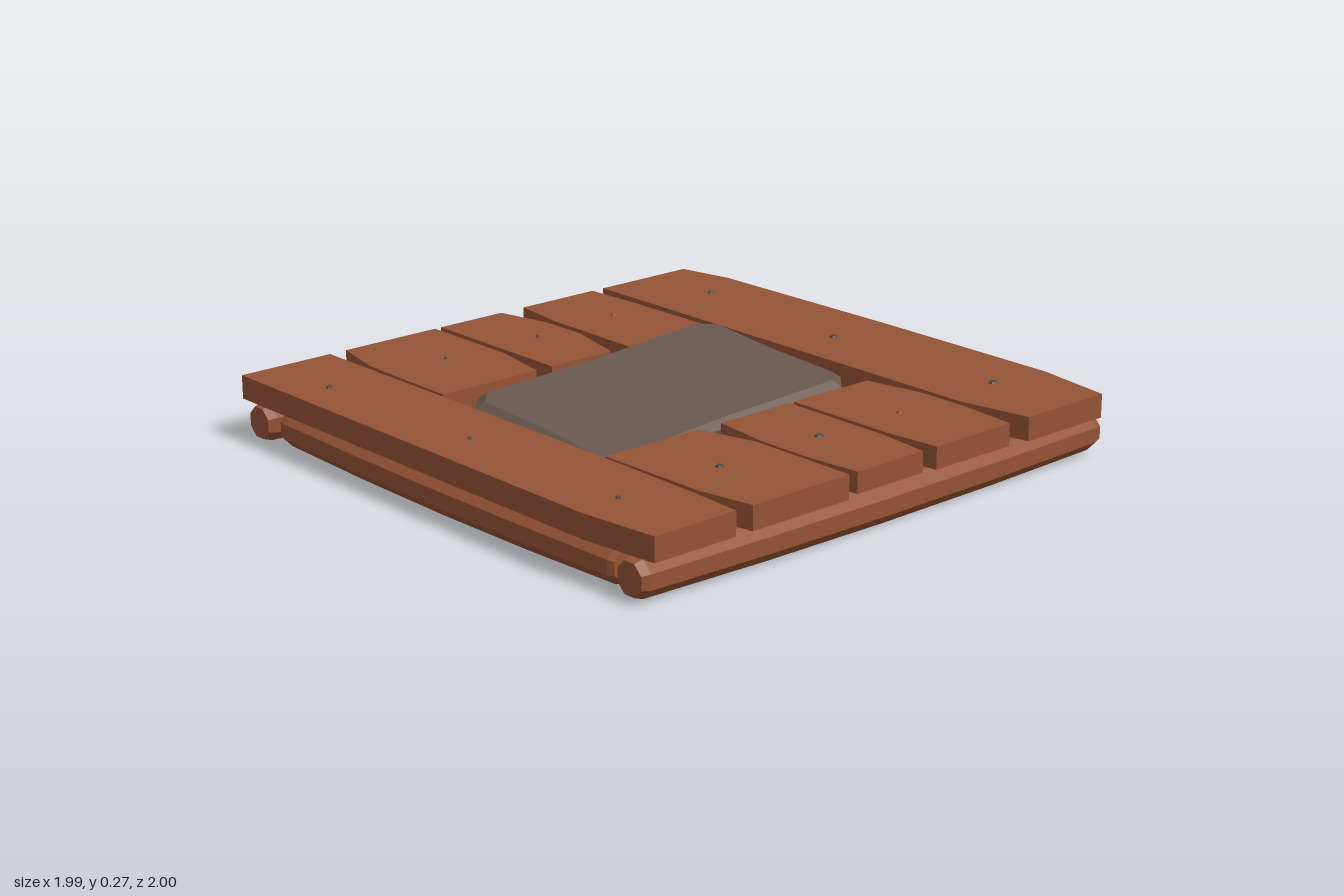
import * as THREE from 'three';

export function createModel() {
  const model = new THREE.Group();
  model.name = 'woodenHatch';

  const wood = new THREE.MeshStandardMaterial({ color: 0x945335, flatShading: true });
  wood.name = 'wood';
  const stone = new THREE.MeshStandardMaterial({ color: 0x6a584e, flatShading: true });
  stone.name = 'stone';
  const iron = new THREE.MeshStandardMaterial({ color: 0x4b4a4c, flatShading: true });
  iron.name = 'iron';

  const add = (name, geometry, material) => {
    const mesh = new THREE.Mesh(geometry, material);
    mesh.name = name;
    model.add(mesh);
    return mesh;
  };

  // Planks: outlines in x, z, extruded downwards
  const plankTop = 0.23;
  const plank = (name, outline, thickness = 0.08) => {
    const shape = new THREE.Shape(outline.map(([x, z]) => new THREE.Vector2(x, z)));
    const geometry = new THREE.ExtrudeGeometry(shape, { depth: thickness, bevelEnabled: false });
    geometry.rotateX(Math.PI / 2).translate(0, plankTop, 0);
    add(name, geometry, wood);
  };
  plank('longPlankRight', [[-1, -1], [-0.65, -1], [-0.645, 0.4], [-0.65, 0.8], [-0.66, 1], [-0.97, 1], [-1, 0.72]]);
  plank('longPlankLeft', [[0.55, -1], [0.94, -1], [0.98, -0.8], [0.99, 0], [0.985, 0.72], [0.94, 1], [0.59, 1], [0.545, 0.75]]);
  plank('backPlankRight', [[-0.585, -1], [-0.21, -1], [-0.21, -0.62], [-0.25, -0.4], [-0.635, -0.4], [-0.63, -0.8]]);
  plank('backPlankMiddle', [[-0.185, -1], [0.08, -1], [0.125, -0.8], [0.125, -0.62], [0.07, -0.4], [-0.185, -0.4]]);
  plank('backPlankLeft', [[0.18, -1], [0.5, -1], [0.51, -0.8], [0.515, -0.4], [0.15, -0.4], [0.155, -0.8]], 0.075);
  plank('frontPlankRight', [[-0.635, 0.4], [-0.26, 0.4], [-0.205, 0.6], [-0.205, 1], [-0.595, 1], [-0.63, 0.8]]);
  plank('frontPlankMiddle', [[-0.165, 0.4], [0.13, 0.4], [0.13, 0.8], [0.11, 1], [-0.17, 1], [-0.19, 0.8], [-0.19, 0.6]], 0.07);
  plank('frontPlankLeft', [[0.15, 0.4], [0.48, 0.4], [0.52, 0.6], [0.52, 0.8], [0.5, 1], [0.17, 1], [0.15, 0.8]], 0.075);

  // Logs: eight-sided, slightly swollen and sagging in the middle, worn at the ends
  const log = (name, length, x, z, alongZ = false, radius = 0.066) => {
    const geometry = new THREE.CylinderGeometry(radius, radius, length, 8, 6);
    geometry.rotateY(Math.PI / 8).rotateZ(Math.PI / 2);
    const p = geometry.attributes.position;
    const stations = [1, 0.97, 0.5, 0];
    for (let i = 0; i < p.count; i++) {
      const ring = Math.round(Math.abs(p.getX(i)) / (length / 6));
      const t = stations[3 - ring];
      const swell = t === 1 ? 0.84 : 1.08 - 0.1 * t * t;
      p.setXYZ(i, Math.sign(p.getX(i)) * t * length / 2,
        p.getY(i) * swell - 0.008 * (1 - t * t), p.getZ(i) * swell);
    }
    if (alongZ) geometry.rotateY(Math.PI / 2);
    geometry.translate(x, 0.083, z);
    geometry.computeVertexNormals();
    add(name, geometry, wood);
  };
  log('frontLog', 1.97, -0.005, 0.915);
  log('backLog', 1.97, -0.005, -0.925);
  log('frontCrossLog', 1.9, 0, 0.7);
  log('backCrossLog', 1.9, 0, -0.695);
  log('middleCrossLog', 1.8, 0, 0);
  log('leftSideLog', 1.66, 0.925, 0, true);
  log('rightSideLog', 1.66, -0.92, 0, true);

  // Stone slab: chamfered-corner outline lofted over three levels
  const slabRing = (inset, y) => {
    const w = 0.53 - inset, d = 0.355 - inset, c = 0.06 - inset * 0.4;
    return [
      [w - c, d], [w, d - c * 1.1], [w - 0.01, 0], [w, -d + c * 1.1], [w - c, -d], [0, -d + 0.013],
      [-w + c, -d], [-w, -d + c * 1.1], [-w + 0.01, 0], [-w, d - c * 1.1], [-w + c, d], [0, d - 0.013],
    ].map(([x, z]) => [x, y, z]);
  };
  const rings = [slabRing(0.01, -0.085), slabRing(0, -0.022), slabRing(0.027, 0)];
  const n = rings[0].length;
  const points = [...rings.flat(), [0, -0.085, 0], [0, 0, 0]].flat();
  const faces = [];
  for (let i = 0; i < n; i++) {
    const j = (i + 1) % n;
    for (let r = 0; r < 2; r++) {
      const a = r * n + i, b = r * n + j;
      faces.push(a, b, b + n, a, b + n, a + n);
    }
    faces.push(3 * n, j, i, 3 * n + 1, 2 * n + i, 2 * n + j);
  }
  const slabGeometry = new THREE.BufferGeometry();
  slabGeometry.setAttribute('position', new THREE.Float32BufferAttribute(points, 3));
  slabGeometry.setIndex(faces);
  slabGeometry.computeVertexNormals();
  const slab = add('stoneSlab', slabGeometry, stone);
  slab.position.set(-0.06, 0.23, 0);
  slab.rotation.set(0.07, 0, 0.057);

  // Nails and pegs: x, z, radius
  const studs = (name, list, material) => list.forEach(([x, z, r]) => {
    const stud = add(name, new THREE.CylinderGeometry(r * 0.7, r, 0.008, 6), material);
    stud.position.set(x, plankTop + 0.003, z);
  });
  studs('nail', [
    [-0.865, -0.7, 0.012], [0.8, -0.695, 0.014], [-0.84, 0, 0.007], [0.74, -0.015, 0.015],
    [-0.845, 0.7, 0.009], [-0.445, 0.695, 0.014], [-0.03, 0.695, 0.016], [0.765, 0.69, 0.017],
    [-0.01, -0.69, 0.006], [-0.395, -0.7, 0.005],
  ], iron);
  studs('woodenPeg', [[0.32, 0.7, 0.013], [0.355, -0.715, 0.013]], wood);

  return model;
}
